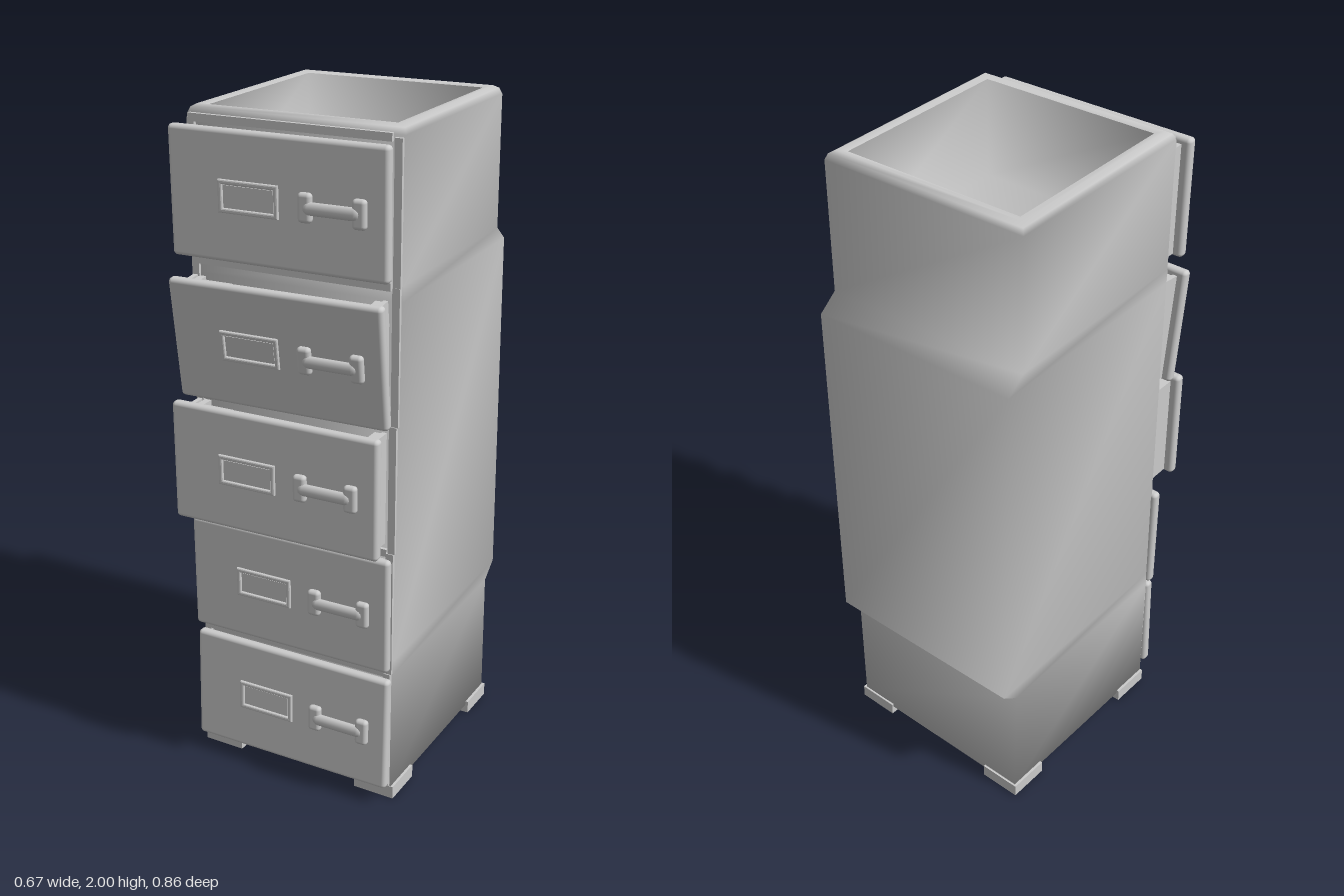
import * as THREE from 'three';
import { RoundedBoxGeometry } from 'three/addons/geometries/RoundedBoxGeometry.js';

const grey = new THREE.MeshStandardMaterial({ color: 0xcccccc });
const greyDouble = new THREE.MeshStandardMaterial({ color: 0xcccccc, side: THREE.DoubleSide });
const CENTRE_Z = -0.027;
const yawAt = (y) => 0.04 * Math.min(1, y / 1.5); // the cabinet is slightly twisted

function add(parent, name, geometry, x = 0, y = 0, z = 0, material = grey) {
  const mesh = new THREE.Mesh(geometry, material);
  mesh.name = name;
  mesh.position.set(x, y, z);
  parent.add(mesh);
  return mesh;
}

const box = (w, h, d) => new THREE.BoxGeometry(w, h, d);

// Skin over square rings; each ring is [y, half width, front z, back z]
function loft(rings, capStart, capEnd) {
  const pos = [], idx = [];
  for (const [y, w, f, b] of rings) {
    const c = Math.cos(yawAt(y)), s = Math.sin(yawAt(y));
    for (const [x, z] of [[-w, f], [w, f], [w, b], [-w, b]]) {
      pos.push(x * c + z * s, y, -x * s + z * c + CENTRE_Z);
    }
  }
  for (let r = 0; r < rings.length - 1; r++) {
    for (let i = 0; i < 4; i++) {
      const a = r * 4 + i, b = r * 4 + ((i + 1) % 4);
      idx.push(a, b, b + 4, a, b + 4, a + 4);
    }
  }
  if (capStart) idx.push(0, 2, 1, 0, 3, 2);
  if (capEnd) {
    const e = (rings.length - 1) * 4;
    idx.push(e, e + 1, e + 2, e, e + 2, e + 3);
  }
  const g = new THREE.BufferGeometry();
  g.setAttribute('position', new THREE.Float32BufferAttribute(pos, 3));
  g.setIndex(idx);
  g.computeVertexNormals();
  return g;
}

// Rectangular frame, extruded
function frameGeometry(w, h, border, depth, bevel) {
  const rect = (target, a, b) => {
    target.moveTo(-a, -b);
    target.lineTo(a, -b);
    target.lineTo(a, b);
    target.lineTo(-a, b);
    target.closePath();
    return target;
  };
  const shape = rect(new THREE.Shape(), w / 2, h / 2);
  shape.holes.push(rect(new THREE.Path(), w / 2 - border, h / 2 - border));
  return new THREE.ExtrudeGeometry(shape, {
    depth, bevelEnabled: bevel > 0, bevelSize: bevel, bevelThickness: bevel, bevelOffset: -bevel, bevelSegments: 2,
  });
}

function makeHandle() {
  const handle = new THREE.Group();
  handle.name = 'handle';
  for (const side of [-1, 1]) {
    add(handle, 'handleFoot', new RoundedBoxGeometry(0.04, 0.08, 0.024, 3, 0.011), side * 0.078, 0, 0.004);
  }
  const bar = add(handle, 'handleBar', new THREE.CapsuleGeometry(0.018, 0.13, 4, 12), 0, 0, 0.009);
  bar.rotation.z = Math.PI / 2;
  bar.scale.z = 0.7;
  return handle;
}

// Drawer with its front face at local z = 0
function makeDrawer(boxDepth) {
  const drawer = new THREE.Group();
  drawer.name = 'drawer';
  add(drawer, 'drawerFront', new RoundedBoxGeometry(0.648, 0.357, 0.032, 3, 0.012), 0, 0, -0.016);

  // open-topped tray behind the front
  const midZ = -0.03 - boxDepth / 2;
  for (const side of [-1, 1]) {
    add(drawer, 'drawerSide', box(0.014, 0.33, boxDepth), side * 0.29, -0.005, midZ);
    add(drawer, 'drawerRunner', box(0.02, 0.022, boxDepth), side * 0.27, 0.145, midZ);
  }
  add(drawer, 'drawerBottom', box(0.58, 0.014, boxDepth), 0, -0.163, midZ);
  add(drawer, 'latch', box(0.08, 0.02, 0.022), -0.19, 0.155, -0.042);

  add(drawer, 'labelFrame', frameGeometry(0.18, 0.09, 0.013, 0.004, 0.004), -0.08, 0.003, 0);
  add(drawer, 'labelCard', box(0.15, 0.06, 0.004), -0.08, 0.003, 0.001);
  const handle = makeHandle();
  handle.position.set(0.17, 0.001, 0.004);
  drawer.add(handle);
  return drawer;
}

// L-shaped corner foot
function footGeometry() {
  const l = new THREE.Shape();
  const pts = [[0, 0], [0.13, 0], [0.13, 0.045], [0.045, 0.045], [0.045, 0.13], [0, 0.13]];
  pts.forEach(([x, y], i) => (i ? l.lineTo(x, y) : l.moveTo(x, y)));
  l.closePath();
  return new THREE.ExtrudeGeometry(l, { depth: 0.04, bevelEnabled: false });
}

export function createModel() {
  const model = new THREE.Group();
  model.name = 'filingCabinet';

  // outer shell with the stepped-out back, rolled into the rim
  add(model, 'body', loft([
    [0.028, 0.322, 0.325, -0.327],
    [0.425, 0.322, 0.325, -0.327],
    [0.47, 0.322, 0.325, -0.386],
    [1.54, 0.322, 0.325, -0.386],
    [1.585, 0.322, 0.325, -0.327],
    [1.975, 0.321, 0.325, -0.327],
    [1.992, 0.314, 0.318, -0.320],
    [2.0, 0.300, 0.304, -0.306],
    [1.995, 0.278, 0.283, -0.284],
  ], true, false));

  // sunken top
  add(model, 'topWell', loft([
    [1.995, 0.278, 0.283, -0.284],
    [1.7, 0.278, 0.283, -0.284],
  ], false, true), 0, 0, 0, greyDouble);

  // front rails between the drawers and side stiles
  const rails = [0.045, 0.425, 0.81, 1.19, 1.578, 1.968];
  rails.forEach((y) => {
    const rail = add(model, 'frontRail', box(0.6, 0.022, 0.02), 0, y, 0.298);
    rail.rotation.y = yawAt(y);
  });
  for (let i = 0; i < rails.length - 1; i++) {
    const y = (rails[i] + rails[i + 1]) / 2, yaw = yawAt(y);
    for (const side of [-1, 1]) {
      const stile = add(model, 'frontStile', box(0.022, rails[i + 1] - rails[i], 0.02),
        side * 0.305 + 0.325 * Math.sin(yaw), y, 0.298 - side * 0.305 * Math.sin(yaw));
      stile.rotation.y = yaw;
    }
  }

  // drawers: [centre y, front z, forward tilt, sideways shift, roll]
  const drawers = [
    [0.237, 0.345, -0.04, 0.004, 0.004],
    [0.613, 0.328, 0, -0.006, 0.002],
    [1.006, 0.407, 0, -0.003, 0],
    [1.368, 0.38, 0.115, 0.0, 0.004],
    [1.781, 0.373, 0.01, 0.002, 0],
  ];
  for (const [y, z, tilt, x, roll] of drawers) {
    const drawer = makeDrawer(z - 0.315 > 0.03 ? z - 0.315 : 0.025);
    drawer.position.set(x, y, z);
    drawer.rotation.set(tilt, yawAt(y), roll);
    model.add(drawer);
  }

  // feet: each L is turned so its corner sits at the outside
  const corners = [[-0.33, 0.3, 0], [0.33, 0.3, Math.PI / 2], [0.33, -0.36, Math.PI], [-0.33, -0.36, -Math.PI / 2]];
  for (const [x, z, turn] of corners) {
    const geometry = footGeometry().rotateX(-Math.PI / 2).rotateY(turn);
    add(model, 'foot', geometry, x, 0, z);
  }
  return model;
}
